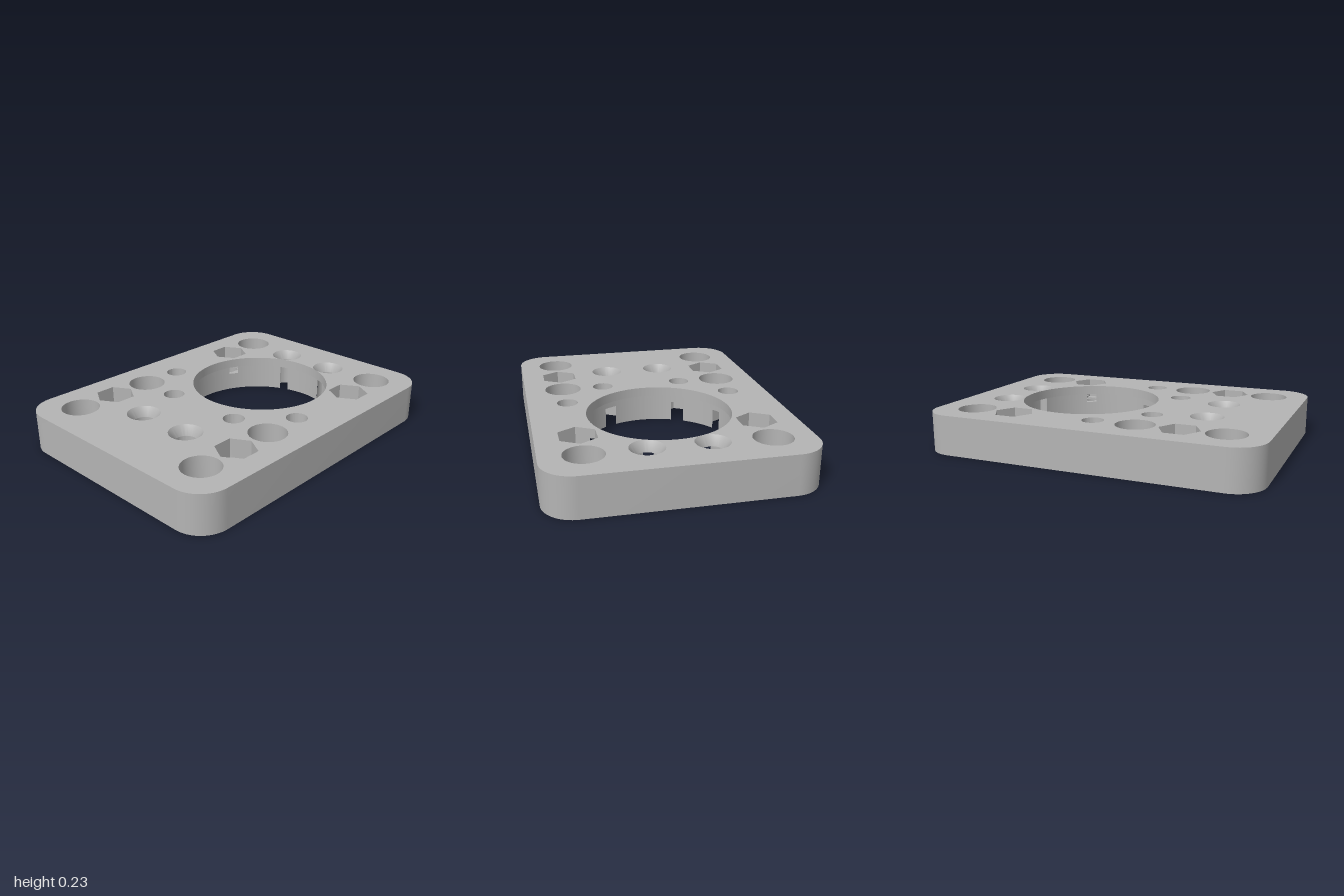
import * as THREE from 'three';
import { mergeGeometries, toCreasedNormals } from 'three/addons/utils/BufferGeometryUtils.js';

const H = 0.235, LIP = 0.178;              // plate height, underside of the bore lip
const BX = 0.255, R = 0.468, LIP_R = 0.425; // bore centre and radii
const HEX_R = 0.119, HOLE_R = 0.063;
const STEP = 0.008;                        // height of the small steps behind each nut pocket

// Rings of [x, z] points, counter-clockwise from above
const ring = (cx, cz, r, n = 48) => Array.from({ length: n }, (_, i) => {
  const a = (i / n) * Math.PI * 2;
  return [cx + r * Math.cos(a), cz - r * Math.sin(a)];
});
const rect = (cx, cz, x0, x1, z0, z1) =>
  [[cx + x0, cz + z1], [cx + x1, cz + z1], [cx + x1, cz + z0], [cx + x0, cz + z0]];
const dense = (poly, n = 20) => poly.flatMap((p, i) => {
  const q = poly[(i + 1) % poly.length];
  return Array.from({ length: n }, (_, k) => [p[0] + (q[0] - p[0]) * k / n, p[1] + (q[1] - p[1]) * k / n]);
});
const inside = (p, poly) => poly.every((a, i) => {
  const b = poly[(i + 1) % poly.length];
  return (b[0] - a[0]) * (a[1] - p[1]) - (a[1] - b[1]) * (p[0] - a[0]) > 0;
});
const dist = (p) => Math.hypot(p[0] - BX, p[1]);
// Keep a pocket outline outside the bore
const clamp = (poly) => poly.map((p) => {
  const k = Math.max(1, R / dist(p));
  return [BX + (p[0] - BX) * k, p[1] * k];
});

// Flat face at height y
function cap(outer, holes, y, up) {
  const v = (p) => new THREE.Vector2(p[0], up ? -p[1] : p[1]);
  const shape = new THREE.Shape(outer.map(v));
  shape.holes = holes.map((h) => new THREE.Path(h.map(v)));
  const g = new THREE.ShapeGeometry(shape).rotateX(up ? -Math.PI / 2 : Math.PI / 2).translate(0, y, 0);
  g.deleteAttribute('uv');
  return g.toNonIndexed();
}

// Wall between a lower and an upper ring; range(i) may shorten or skip a segment
function wall(low, y0, y1, { high = low, outward = false, range = () => [y0, y1] } = {}) {
  const pos = [];
  low.forEach((p, i) => {
    const j = (i + 1) % low.length, span = range(i, j);
    if (!span) return;
    const a = [p[0], span[0], p[1]], b = [low[j][0], span[0], low[j][1]];
    const c = [high[j][0], span[1], high[j][1]], d = [high[i][0], span[1], high[i][1]];
    pos.push(...(outward ? [a, b, c, a, c, d] : [a, c, b, a, d, c]).flat());
  });
  const g = new THREE.BufferGeometry();
  g.setAttribute('position', new THREE.Float32BufferAttribute(pos, 3));
  g.computeVertexNormals();
  return g;
}
// Pocket wall that opens where it meets the bore
function openWall(poly, y0, y1) {
  const pts = clamp(poly);
  return wall(pts, y0, y1, {
    range: (i, j) => (dist(pts[i]) < R + 1e-6 && dist(pts[j]) < R + 1e-6 ? null : [y0, y1]),
  });
}

// Bore outline joined with the pockets that break into it
function joinedOutline(bore, polys) {
  const out = [], done = new Set();
  for (const p of bore) {
    const k = polys.findIndex((q) => inside(p, q));
    if (k < 0) { out.push(p); continue; }
    if (done.has(k)) continue;
    done.add(k);
    const q = dense(polys[k], polys[k].length > 6 ? 2 : 20), n = q.length;
    const s = q.findIndex((pt, i) => dist(pt) >= R && dist(q[(i + n - 1) % n]) < R);
    for (let i = 0; s >= 0 && i < n && dist(q[(s + i) % n]) >= R; i++) out.push(q[(s + i) % n]);
  }
  return out;
}

export function createModel() {
  const group = new THREE.Group();
  const grey = new THREE.MeshStandardMaterial({ color: 0xb4b4b4 });
  grey.name = 'grey';
  const add = (name, parts) => {
    const mesh = new THREE.Mesh(toCreasedNormals(mergeGeometries(parts), 0.6), grey);
    mesh.name = name;
    group.add(mesh);
  };
  const pairs = (list) => list.flatMap(([x, z]) => [[x, -z], [x, z]]);

  const big = pairs([[-0.765, 0.508], [-0.255, 0.508], [0.762, 0.508]]);
  const topNuts = pairs([[-0.508, 0.508], [0.508, 0.508]]);
  const bottomNuts = pairs([[0, 0.508], [-0.255, 0.252]]);
  const sinks = pairs([[-0.56, 0.177], [0.747, 0.177]]);
  const circles = (list, r) => list.map(([x, z]) => ring(x, z, r));
  const hexes = (list) => list.map(([x, z]) => ring(x, z, HEX_R, 6));
  const topHex = hexes(topNuts), bottomHex = hexes(bottomNuts);
  const sinkHoles = circles(sinks, HOLE_R);
  const bore = ring(BX, 0, R, 360), lip = ring(BX, 0, LIP_R, 360);
  const TOP_FLOOR = 0.12, BOTTOM_ROOF = 0.115, CONE = H - 0.055;

  // Rounded plate outline
  const outline = [];
  const cr = 0.18, w = 1 - cr, d = 0.745 - cr;
  [[w, -d], [-w, -d], [-w, d], [w, d]].forEach(([x, z], q) => {
    for (let i = 0; i <= 16; i++) {
      const a = (q + i / 16) * Math.PI / 2;
      outline.push([x + cr * Math.cos(a), z - cr * Math.sin(a)]);
    }
  });
  add('plateSides', [wall(outline, 0, H, { outward: true })]);
  add('plateTop', [cap(outline, [...circles(big, 0.112), ...topHex, ...circles(bottomNuts, HOLE_R),
    ...circles(sinks, 0.098), lip], H, true)]);

  // Pockets on the bottom, some joined to the bore
  const breaking = [...bottomHex, ...sinkHoles.slice(2)];
  add('plateBottom', [cap(outline, [...circles(big, 0.112), ...circles(topNuts, HOLE_R),
    ...sinkHoles.slice(0, 2), joinedOutline(bore, breaking)], 0, false)]);

  // Main bore with its narrower lip
  const range = (i, j) => {
    const m = [(bore[i][0] + bore[j][0]) / 2, (bore[i][1] + bore[j][1]) / 2];
    const hit = (polys) => polys.some((q) => inside(m, q));
    if (hit(sinkHoles)) return null;
    return [hit(bottomHex) ? BOTTOM_ROOF + STEP : 0, hit(topHex) ? TOP_FLOOR - STEP : LIP];
  };
  const lipEdge = bore.map((p) => {
    let k = 1, q = p;
    while (k > 0.93 && [...topHex, ...sinkHoles].some((h) => inside(q, h))) {
      k -= 0.002;
      q = [BX + (p[0] - BX) * k, p[1] * k];
    }
    return q;
  });
  add('bore', [wall(bore, 0, LIP, { range })]);
  add('boreLip', [wall(lip, LIP, H), cap(lipEdge, [lip], LIP, false)]);

  // Plain through holes
  add('largeHoles', circles(big, 0.112).map((c) => wall(c, 0, H)));

  // Countersunk holes
  add('countersunkHoles', sinks.flatMap(([x, z]) => {
    const c = ring(x, z, HOLE_R);
    return [openWall(c, 0, LIP), wall(c, LIP, CONE), wall(c, CONE, H, { high: ring(x, z, 0.098) })];
  }));

  // Nut pocket: hexagon, then a slot, a square and a round hole
  const s = HEX_R / 2, ap = HEX_R * Math.sqrt(3) / 2;
  function nutPocket([x, z], floor, up) {
    const dir = up ? -1 : 1, y1 = floor + dir * STEP, y2 = y1 + dir * STEP;
    const band = (poly, a, b) => openWall(dense(poly), Math.min(a, b), Math.max(a, b));
    const hex = ring(x, z, HEX_R, 6), hole = ring(x, z, HOLE_R * 0.93);
    const square = rect(x, z, -s, s, -s, s);
    const parts = [band(hex, up ? LIP : 0, floor), band(rect(x, z, -s, s, -ap, ap), floor, y1),
      wall(square, Math.min(y1, y2), Math.max(y1, y2)), cap(square, [hole], y2, up)];
    if (up) parts.push(wall(hex, LIP, H));
    for (const m of [-1, 1]) {
      const corner = [[x + m * s, z + ap], [x + m * HEX_R, z], [x + m * s, z - ap]];
      parts.push(cap(clamp(dense(corner)), [], floor, up));
      const ledge = m > 0 ? rect(x, z, -s, s, s, ap) : rect(x, z, -s, s, -ap, -s);
      parts.push(cap(clamp(dense(ledge)), [], y1, up));
    }
    const round = ring(x, z, HOLE_R);
    parts.push(up ? wall(round, 0, y2, { high: hole }) : wall(hole, y2, H, { high: round }));
    return parts;
  }
  add('topNutPockets', topNuts.flatMap((p) => nutPocket(p, TOP_FLOOR, true)));
  add('bottomNutPockets', bottomNuts.flatMap((p) => nutPocket(p, BOTTOM_ROOF, false)));
  return group;
}
